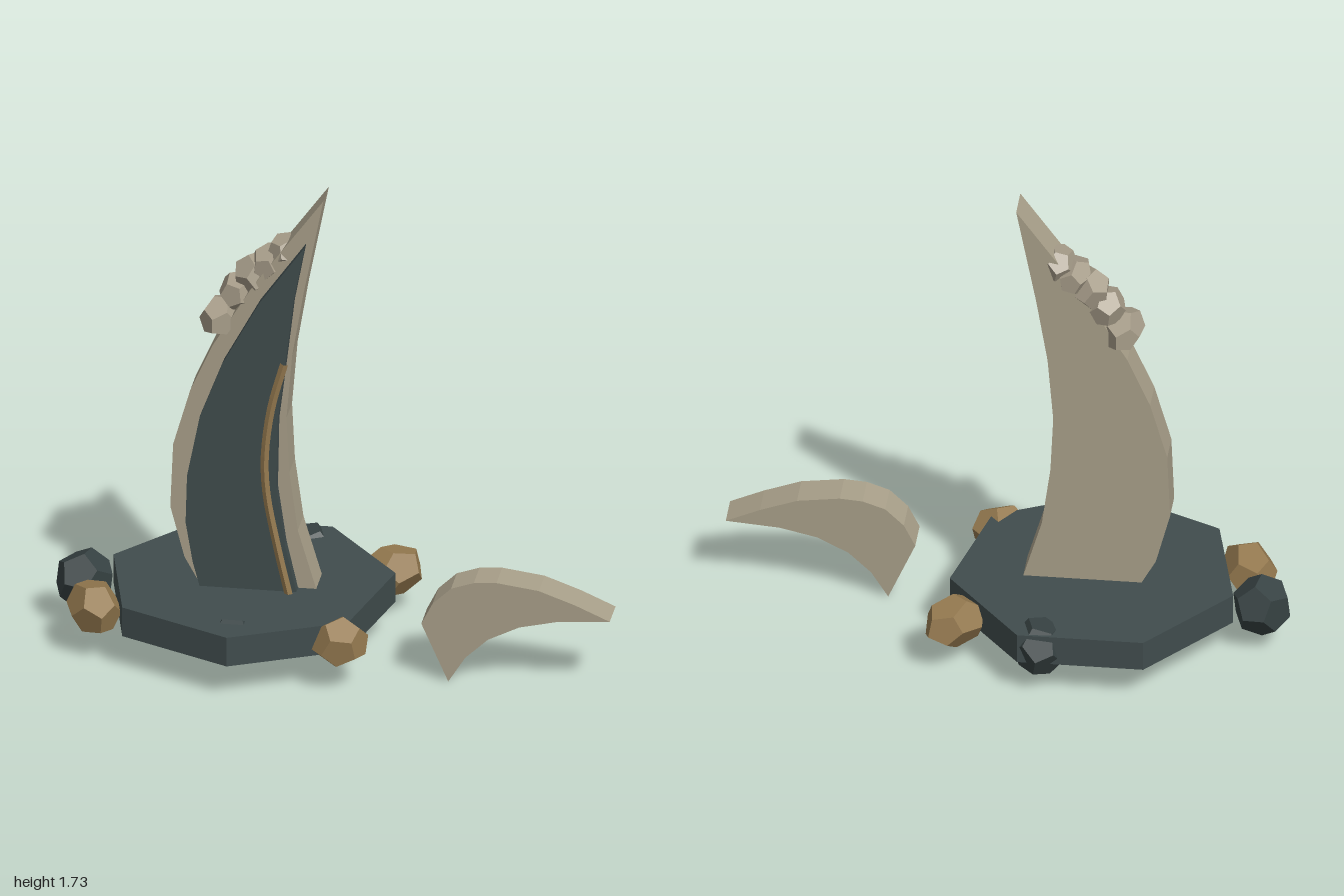
import * as THREE from 'three';

const mat = (name, color) => {
  const m = new THREE.MeshStandardMaterial({ color, flatShading: true });
  m.name = name;
  return m;
};

export function createModel() {
  const group = new THREE.Group();
  const ivory = mat('ivory', 0xa89f89);
  const slate = mat('slate', 0x404c4d);
  const darkStone = mat('darkStone', 0x364142);
  const bronze = mat('bronze', 0x94794f);
  const shell = mat('shell', 0xa59b88);

  const add = (name, geometry, material) => {
    const mesh = new THREE.Mesh(geometry, material);
    mesh.name = name;
    group.add(mesh);
    return mesh;
  };

  // Outline in the xy plane, thickened between two z values
  const slab = (name, points, z0, z1, material) => {
    const shape = new THREE.Shape(points.map(([x, y]) => new THREE.Vector2(x, y)));
    const geo = new THREE.ExtrudeGeometry(shape, { depth: z1 - z0, bevelEnabled: false });
    return add(name, geo.translate(0, 0, z0), material);
  };

  // Faceted stone: position, size on each axis and turn
  const stone = (name, [x, y, z], [sx, sy, sz], [rx, ry, rz], material) => {
    const geo = new THREE.DodecahedronGeometry(1);
    geo.rotateX(rx).rotateZ(rz).scale(sx, sy, sz).rotateY(ry);
    add(name, geo, material).position.set(x, y, z);
  };

  // Seven-sided plinth
  add('base', new THREE.CylinderGeometry(0.51, 0.51, 0.11, 7), slate).position.set(-0.31, 0.185, -0.01);

  // Tall curved tusk
  slab('tusk', [
    [-0.42, 0.129], [-0.48, 0.24], [-0.53, 0.33], [-0.58, 0.52], [-0.57, 0.76], [-0.51, 0.97],
    [-0.43, 1.15], [-0.28, 1.4], [-0.04, 1.73], [-0.11, 1.37], [-0.15, 1.13], [-0.17, 0.89],
    [-0.16, 0.68], [-0.13, 0.46], [-0.065, 0.24], [-0.02, 0.129],
  ].reverse(), -0.075, 0.05, ivory);

  // Dark inlay on the front of the tusk
  slab('inlay', [
    [-0.46, 0.2], [-0.495, 0.33], [-0.52, 0.48], [-0.515, 0.66], [-0.47, 0.89], [-0.39, 1.1],
    [-0.26, 1.34], [-0.1, 1.565], [-0.14, 1.35], [-0.167, 1.12], [-0.195, 0.89], [-0.2, 0.63],
    [-0.17, 0.42], [-0.12, 0.2],
  ].reverse(), 0.05, 0.088, slate);

  // Thin trim following the inlay
  const trimPath = new THREE.CatmullRomCurve3([
    [-0.15, 0.22], [-0.195, 0.42], [-0.232, 0.62], [-0.238, 0.76], [-0.215, 0.95], [-0.17, 1.12],
  ].map(([x, y]) => new THREE.Vector3(x, y, 0.1)));
  add('trim', new THREE.TubeGeometry(trimPath, 20, 0.015, 5), bronze);

  // Separate fallen tusk lying beside the base
  slab('fallenTusk', [
    [0.335, 0.22], [0.375, 0.3], [0.44, 0.362], [0.52, 0.389], [0.6, 0.395], [0.75, 0.375],
    [0.88, 0.328], [1, 0.275], [0.81, 0.26], [0.68, 0.23], [0.57, 0.175], [0.49, 0.1], [0.43, 0.005],
  ].reverse(), 0.105, 0.235, ivory);

  // Stones around the rim
  stone('rimStone', [-0.9, 0.17, -0.06], [0.107, 0.112, 0.107], [0.3, 0.2, 0.4], darkStone);
  stone('rimStone', [-0.16, 0.165, -0.41], [0.095, 0.108, 0.1], [0.5, 0.6, 0.2], darkStone);
  stone('rimStone', [-0.31, 0.165, 0.37], [0.1, 0.09, 0.1], [0, 0, 0], darkStone);
  stone('rimStone', [-0.83, 0.172, 0.17], [0.095, 0.092, 0.14], [0.2, 0.35, 0], bronze);
  stone('rimStone', [0.06, 0.172, 0.325], [0.105, 0.092, 0.1], [0, 0.7, 0.2], bronze);
  stone('rimStone', [0.15, 0.172, -0.29], [0.095, 0.092, 0.13], [0.2, -0.7, 0], bronze);

  // Encrusted cluster along the outer edge of the tusk
  [
    [-0.41, 1.24, -0.012, 0.072, 0.112], [-0.35, 1.335, -0.02, 0.07, 0.088],
    [-0.295, 1.405, -0.02, 0.075, 0.085], [-0.24, 1.455, -0.02, 0.065, 0.09],
    [-0.185, 1.5, -0.02, 0.063, 0.08],
  ].forEach(([x, y, z, r, depth], i) =>
    stone('crustStone', [x, y, z], [r, r, depth], [i * 0.7, 0.15 * (i % 3 - 1), i * 1.1], shell));

  return group;
}
